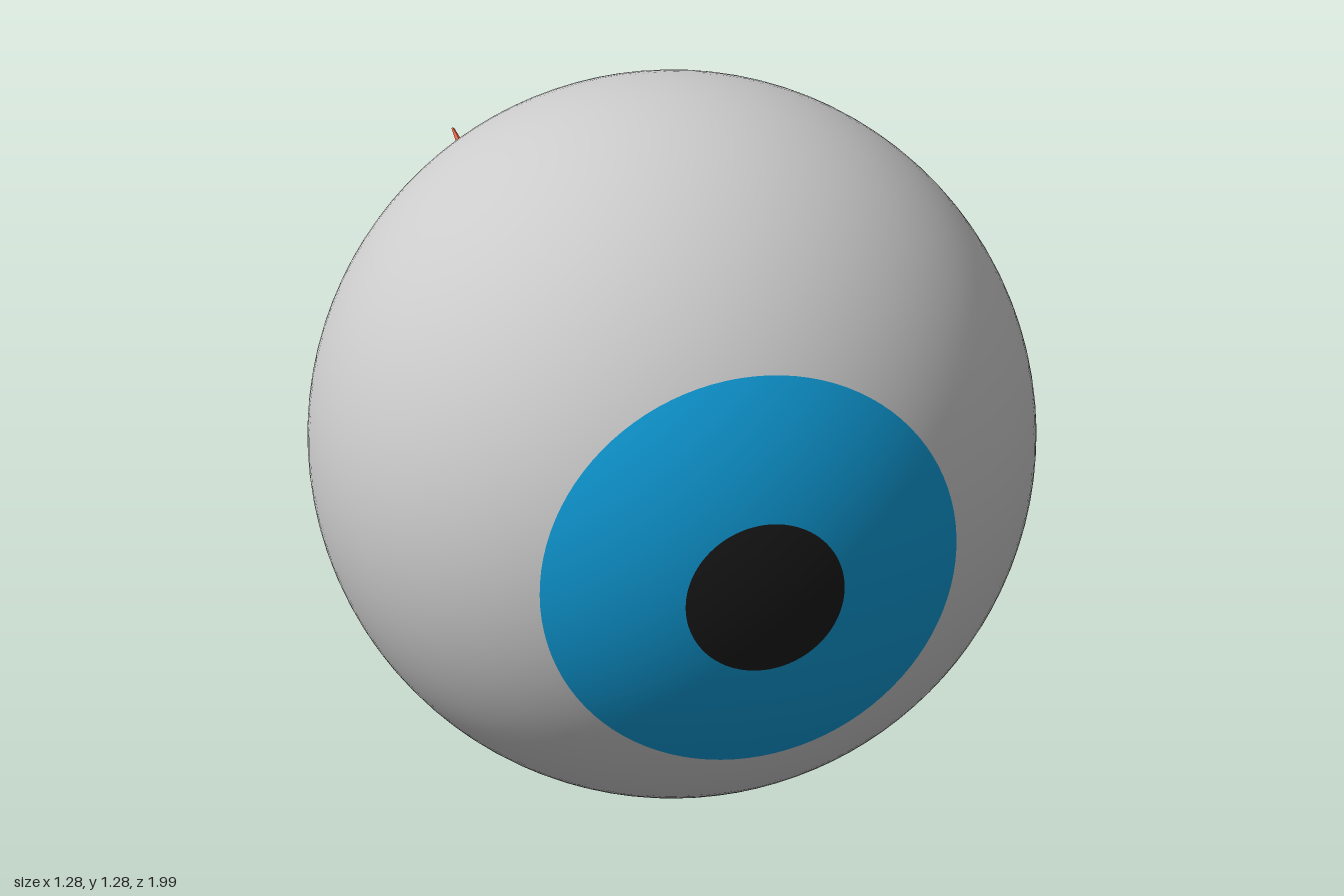
import * as THREE from 'three';

const R = 0.64;
const CENTRE = new THREE.Vector3(0, 0.642, 0.36);

// Strands growing from the back, base first: [x, y, z, half width, half height]
const STRANDS = [
  [[-0.14, 0.67, -0.2, 0.065, 0.055], [-0.137, 0.69, -0.34, 0.04, 0.042], [-0.134, 0.7, -0.55, 0.028, 0.028], [-0.13, 0.72, -0.99, 0.003, 0.003]],
  [[0.13, 0.67, -0.2, 0.075, 0.055], [0.13, 0.675, -0.34, 0.06, 0.042], [0.135, 0.65, -0.5, 0.033, 0.028], [0.14, 0.575, -0.9, 0.003, 0.004]],
  [[0.25, 0.51, -0.16, 0.06, 0.06], [0.25, 0.53, -0.3, 0.048, 0.05], [0.25, 0.565, -0.42, 0.035, 0.038], [0.25, 0.785, -0.9, 0.005, 0.027]],
  [[0.15, 0.5, -0.2, 0.06, 0.045], [0.15, 0.51, -0.34, 0.035, 0.03], [0.14, 0.52, -0.45, 0.005, 0.005]],
];

function material(color, flatShading = false) {
  return new THREE.MeshStandardMaterial({ color, flatShading });
}

// Band of the eyeball between two angles measured from the front pole
function band(name, from, to, color, rows) {
  const geo = new THREE.SphereGeometry(R, 96, rows, 0, Math.PI * 2, from, to - from);
  geo.rotateX(Math.PI / 2);
  const mesh = new THREE.Mesh(geo, material(color));
  mesh.name = name;
  mesh.position.copy(CENTRE);
  return mesh;
}

// Red cap with a ragged rim, swelling outwards around each strand root
function backCap() {
  const geo = new THREE.SphereGeometry(R + 0.002, 120, 48, 0, Math.PI * 2, 0, 0.722);
  geo.rotateX(-Math.PI / 2);
  const roots = STRANDS.map(([b]) => new THREE.Vector2(b[0], b[1] - CENTRE.y));
  const pos = geo.attributes.position;
  const v = new THREE.Vector3();
  for (let i = 0; i < pos.count; i++) {
    v.fromBufferAttribute(pos, i);
    const a = Math.atan2(v.y, v.x);
    const rim = Math.hypot(v.x, v.y) / 0.425;
    const ragged = 0.006 * (Math.sin(a * 17) + Math.sin(a * 41 + 1)) * rim ** 8;
    v.z += ragged;
    v.setLength(R + 0.002);
    let swell = 0;
    for (const r of roots) {
      const d2 = (v.x - r.x) ** 2 + (v.y - r.y) ** 2;
      swell = Math.max(swell, 0.055 * Math.exp(-d2 / 0.007));
    }
    v.z -= swell;
    pos.setXYZ(i, v.x, v.y, v.z);
  }
  geo.computeVertexNormals();
  const mesh = new THREE.Mesh(geo, material(0xdb5f42));
  mesh.name = 'backCap';
  mesh.position.copy(CENTRE);
  return mesh;
}

// Tapered five-sided strand through its cross-sections
function strand(sections) {
  const n = sections.length - 1;
  const geo = new THREE.CylinderGeometry(1, 1, 1, 5, n);
  const pos = geo.attributes.position;
  for (let i = 0; i < pos.count; i++) {
    const [x, y, z, w, h] = sections[Math.round((pos.getY(i) + 0.5) * n)];
    pos.setXYZ(i, x + pos.getX(i) * w, y + pos.getZ(i) * h, z);
  }
  geo.computeVertexNormals();
  const mesh = new THREE.Mesh(geo, material(0xdb5f42, true));
  mesh.name = 'nerveStrand';
  return mesh;
}

export function createModel() {
  const model = new THREE.Group();
  model.name = 'eyeball';
  const pupilEdge = Math.asin(0.133 / R);
  const irisEdge = Math.asin(0.353 / R);
  model.add(
    band('pupil', 0, pupilEdge, 0x1a1a1a, 8),
    band('iris', pupilEdge, irisEdge, 0x0f9bd7, 12),
    band('white', irisEdge, Math.PI, 0xcccccc, 56),
    backCap(),
  );
  const nerves = new THREE.Group();
  nerves.name = 'nerves';
  STRANDS.forEach((s) => nerves.add(strand(s)));
  model.add(nerves);
  return model;
}
